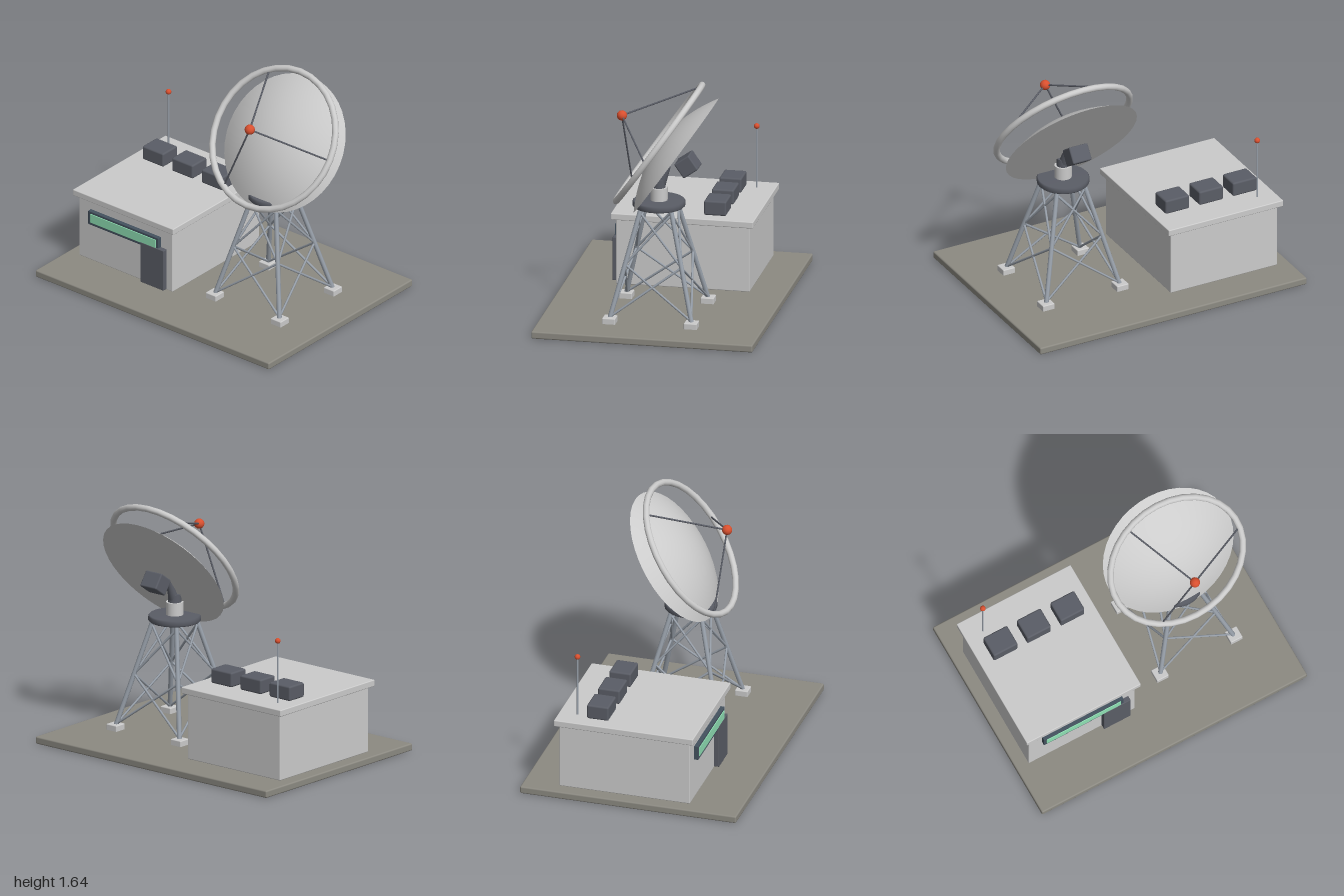
import * as THREE from 'three';
import { RoundedBoxGeometry } from 'three/addons/geometries/RoundedBoxGeometry.js';

const material = (color) => new THREE.MeshStandardMaterial({ color });
const grey = material(0xcccccc);
const dark = material(0x5a5d66);
const steel = material(0x9aa2ac);
const concrete = material(0x8c8a82);
const red = material(0xd9502f);
const glass = material(0x8fe0b4);
const frameBlue = material(0x44525f);
const dishGrey = grey.clone();
dishGrey.side = THREE.DoubleSide;

function add(parent, name, geometry, mat, x = 0, y = 0, z = 0) {
  const mesh = new THREE.Mesh(geometry, mat);
  mesh.name = name;
  mesh.position.set(x, y, z);
  parent.add(mesh);
  return mesh;
}

// Softly rounded box given by its lower and upper corners
function box(parent, name, mat, [x0, y0, z0], [x1, y1, z1], radius = 0.006) {
  const geometry = new RoundedBoxGeometry(x1 - x0, y1 - y0, z1 - z0, 2, radius);
  return add(parent, name, geometry, mat, (x0 + x1) / 2, (y0 + y1) / 2, (z0 + z1) / 2);
}

// Round bar between two points
function bar(parent, name, mat, a, b, rEnd, rStart = rEnd, sides = 8) {
  const dir = b.clone().sub(a);
  const mesh = add(parent, name, new THREE.CylinderGeometry(rEnd, rStart, dir.length(), sides), mat);
  mesh.position.copy(a).add(b).multiplyScalar(0.5);
  mesh.quaternion.setFromUnitVectors(new THREE.Vector3(0, 1, 0), dir.normalize());
  return mesh;
}

const vec = (x, y, z) => new THREE.Vector3(x, y, z);

function createHut() {
  const hut = new THREE.Group();
  hut.name = 'controlHut';
  box(hut, 'walls', grey, [-0.91, 0.05, -0.5], [-0.11, 0.505, 0.4]);
  box(hut, 'roof', grey, [-0.94, 0.5, -0.53], [-0.08, 0.545, 0.43]);
  box(hut, 'windowFrame', frameBlue, [-0.81, 0.33, 0.39], [-0.21, 0.43, 0.428], 0.003);
  box(hut, 'windowGlass', glass, [-0.79, 0.348, 0.4], [-0.23, 0.414, 0.432], 0.003);
  box(hut, 'door', dark, [-0.36, 0.055, 0.39], [-0.16, 0.355, 0.434], 0.005);
  for (const x of [-0.76, -0.508, -0.255]) {
    box(hut, 'roofUnit', dark, [x - 0.09, 0.545, -0.33], [x + 0.09, 0.645, -0.18], 0.012);
  }
  bar(hut, 'antennaMast', steel, vec(-0.81, 0.54, -0.405), vec(-0.81, 0.97, -0.405), 0.006);
  add(hut, 'antennaLamp', new THREE.SphereGeometry(0.019, 16, 12), red, -0.81, 0.972, -0.405);
  return hut;
}

function createTower() {
  const tower = new THREE.Group();
  tower.name = 'tower';
  const corners = [[1, 1], [1, -1], [-1, -1], [-1, 1]];
  // Point on a leg at a given height
  const legPoint = ([sx, sz], y) => {
    const r = THREE.MathUtils.mapLinear(y, 0.08, 0.8, 0.275, 0.1);
    return vec(sx * r, y, sz * r);
  };
  corners.forEach((c, i) => {
    const next = corners[(i + 1) % 4];
    const [x, z] = [c[0] * 0.278, c[1] * 0.275];
    box(tower, 'footPad', grey, [x - 0.044, 0.045, z - 0.044], [x + 0.044, 0.09, z + 0.044]);
    bar(tower, 'leg', steel, legPoint(c, 0.07), legPoint(c, 0.8), 0.016);
    // Two stacked cross braces on each side
    for (const [low, high] of [[0.09, 0.43], [0.43, 0.77]]) {
      bar(tower, 'brace', steel, legPoint(c, low), legPoint(next, high), 0.008, 0.008, 6);
      bar(tower, 'brace', steel, legPoint(next, low), legPoint(c, high), 0.008, 0.008, 6);
    }
  });
  // Platform with chamfered edges, and the turning pedestal
  const rim = [[0, 0.79], [0.167, 0.79], [0.175, 0.798], [0.175, 0.825], [0.167, 0.833], [0, 0.833]];
  const platform = new THREE.LatheGeometry(rim.map(([r, y]) => new THREE.Vector2(r, y)), 24);
  add(tower, 'platform', platform, dark);
  add(tower, 'pedestal', new THREE.CylinderGeometry(0.058, 0.058, 0.09, 20), grey, 0, 0.875, 0);
  add(tower, 'pivot', new THREE.CylinderGeometry(0.045, 0.045, 0.06, 16), dark, 0, 0.945, 0);
  bar(tower, 'dishArm', dark, vec(0, 0.94, -0.01), vec(0, 1.07, -0.06), 0.02, 0.035, 12);
  return tower;
}

function createDish() {
  const dish = new THREE.Group();
  dish.name = 'dish';
  const radius = 0.47, depth = 0.14;
  // Curved reflector with its flat back
  const profile = [];
  for (let i = 0; i <= 12; i++) {
    const t = 1 - i / 12;
    profile.push(new THREE.Vector2(radius * t, -depth * t * t));
  }
  add(dish, 'reflector', new THREE.LatheGeometry(profile, 40).rotateX(Math.PI / 2), dishGrey);
  add(dish, 'reflectorBack', new THREE.CircleGeometry(radius, 40).rotateY(Math.PI), grey, 0, 0, -depth);
  add(dish, 'rimRing', new THREE.TorusGeometry(0.477, 0.022, 10, 32), grey);
  // Feed on three struts
  const feed = vec(0, 0, 0.305);
  add(dish, 'feed', new THREE.SphereGeometry(0.034, 20, 14), red, 0, 0, feed.z);
  for (let i = 0; i < 3; i++) {
    const a = (i * Math.PI * 2) / 3;
    bar(dish, 'feedStrut', dark, vec(Math.cos(a) * 0.465, Math.sin(a) * 0.465, 0), feed, 0.006);
  }
  return dish;
}

export function createModel() {
  const model = new THREE.Group();
  model.name = 'dishStation';
  box(model, 'groundSlab', concrete, [-1, 0, -0.745], [1, 0.05, 0.745], 0.01);
  model.add(createHut());

  const station = new THREE.Group();
  station.name = 'dishTower';
  station.position.x = 0.427;
  station.add(createTower());
  const tilt = THREE.MathUtils.degToRad(35);
  const dish = createDish();
  dish.position.y = 1.225;
  dish.rotation.x = -tilt;
  station.add(dish);
  // Receiver housing behind the dish
  const housing = new RoundedBoxGeometry(0.14, 0.115, 0.12, 2, 0.01);
  add(station, 'receiverBox', housing, dark, 0, 1.09, -0.195).rotation.x = tilt;
  model.add(station);
  return model;
}
